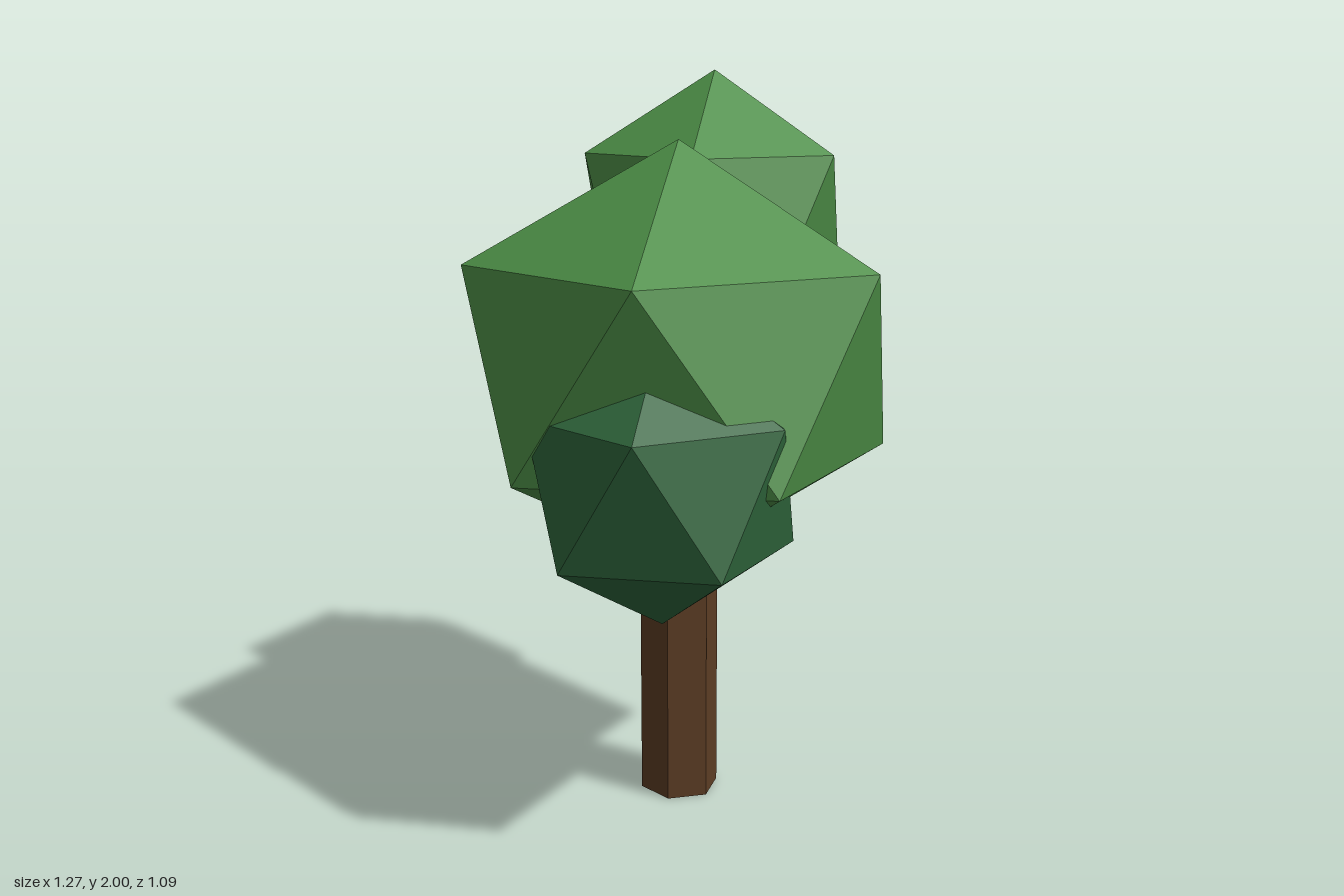
import * as THREE from 'three';

const material = (name, color) => {
  const m = new THREE.MeshStandardMaterial({ color, flatShading: true });
  m.name = name;
  return m;
};

export function createModel() {
  const tree = new THREE.Group();
  tree.name = 'tree';

  const bark = material('bark brown', 0x5c3d24);
  const leaf = material('leaf green', 0x4e9048);
  const darkLeaf = material('dark leaf green', 0x2f663c);

  // Hexagonal trunk, its top hidden inside the crown
  const trunkHeight = 0.9;
  const trunk = new THREE.Mesh(new THREE.CylinderGeometry(0.11, 0.11, trunkHeight, 6), bark);
  trunk.name = 'trunk';
  trunk.position.set(-0.035, trunkHeight / 2, 0);
  tree.add(trunk);

  // Icosahedron turned to stand on one corner
  const tilt = -Math.atan(2 / (1 + Math.sqrt(5)));
  const addFoliage = (name, mat, radius, stretchY, x, y, z) => {
    const geometry = new THREE.IcosahedronGeometry(radius, 0);
    geometry.rotateZ(tilt);
    geometry.scale(1, stretchY, 1);
    geometry.computeVertexNormals();
    const clump = new THREE.Mesh(geometry, mat);
    clump.name = name;
    clump.position.set(x, y, z);
    tree.add(clump);
  };

  // Foliage clumps
  addFoliage('mainFoliage', leaf, 0.641, 0.9, -0.035, 1.247, 0);
  addFoliage('upperFoliage', leaf, 0.41, 1, 0.265, 1.59, -0.172);
  addFoliage('lowerFoliage', darkLeaf, 0.382, 1, -0.294, 0.989, 0.213);

  return tree;
}
